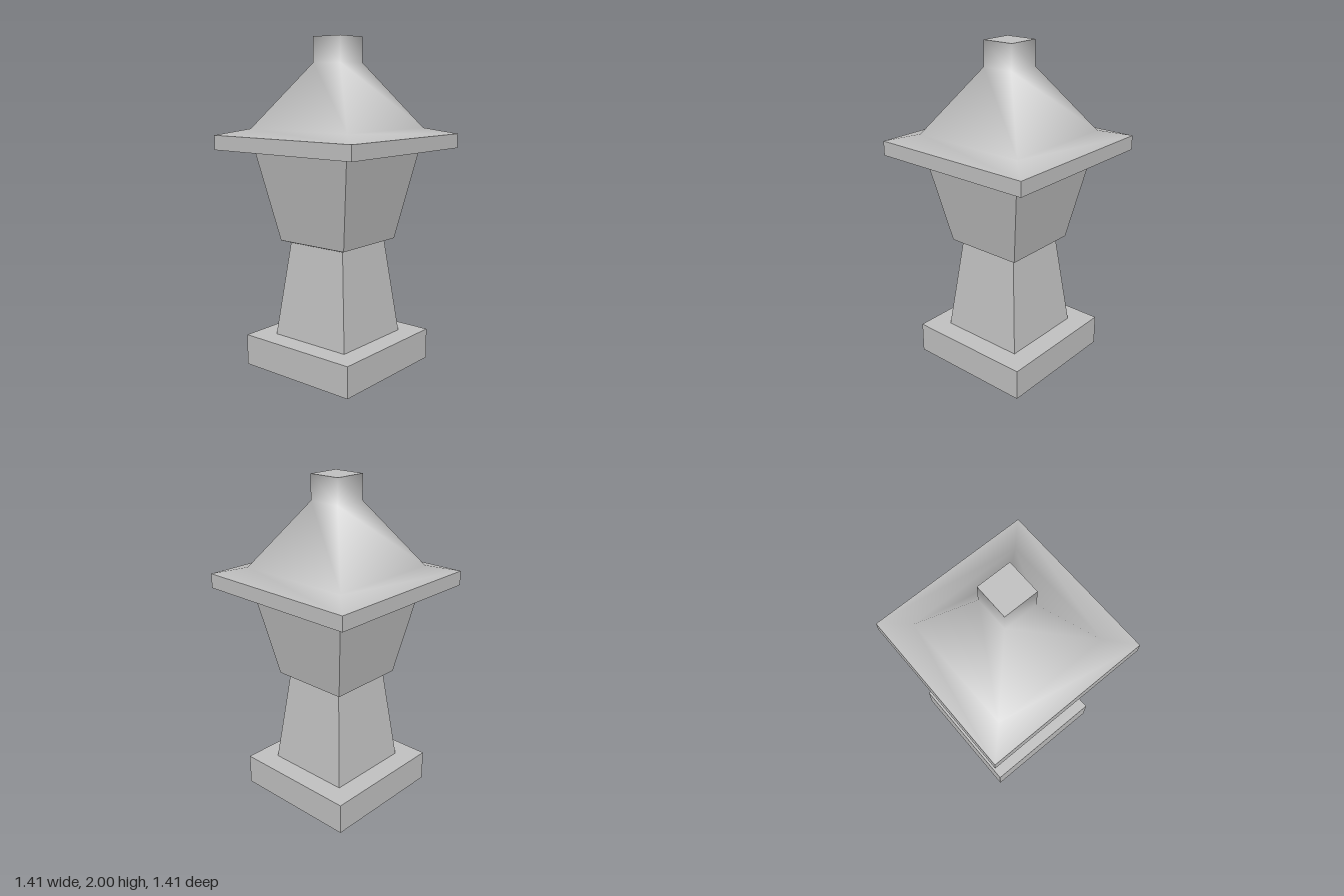
import * as THREE from 'three';

export function createModel() {
  const group = new THREE.Group();
  const stone = new THREE.MeshStandardMaterial({ color: 0xc0c0c0, side: THREE.DoubleSide });
  stone.name = 'grey stone';

  // Every part is a four-sided shell; profile points are [corner radius, height], bottom to top.
  const turn = Math.atan2(0.705, 0.2); // angle of the first corner
  function addPart(name, profile, smooth = false) {
    const points = profile.map(([r, y]) => new THREE.Vector2(r, y));
    let geometry = new THREE.LatheGeometry(points, 4, turn);
    if (!smooth) {
      geometry = geometry.toNonIndexed();
      geometry.computeVertexNormals();
    }
    const mesh = new THREE.Mesh(geometry, stone);
    mesh.name = name;
    group.add(mesh);
  }

  // Hollow plinth, open underneath, with a rim around the pedestal
  addPart('plinth', [[0.565, 0], [0.565, 0.19], [0.383, 0.19]]);
  // Tapering pedestal
  addPart('pedestal', [[0.383, 0.19], [0.287, 0.77]]);
  // Lantern box, flaring upwards from a small undercut
  addPart('lanternBox', [[0.287, 0.77], [0.348, 0.785], [0.499, 1.34]]);
  // Eave slab: underside and vertical rim
  addPart('eave', [[0.499, 1.34], [0.733, 1.34], [0.733, 1.427]]);
  // Smooth roof sweeping up into the finial
  addPart('roof', [[0.733, 1.427], [0.518, 1.465], [0.146, 1.85], [0.146, 2]], true);
  // Flat top of the finial
  addPart('finialTop', [[0.146, 2], [0, 2]]);

  return group;
}
